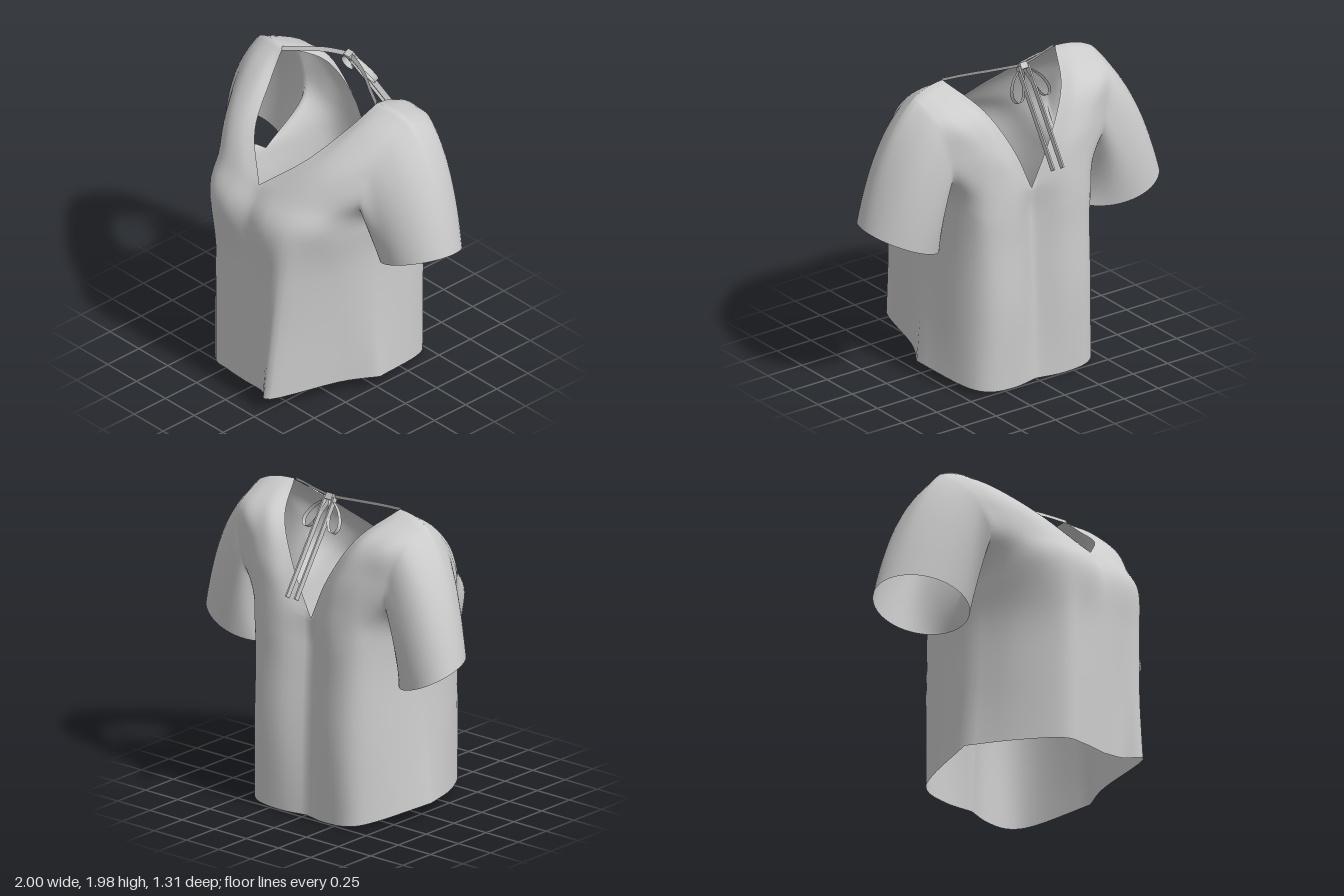
import * as THREE from 'three';
import { mergeGeometries, mergeVertices } from 'three/addons/utils/BufferGeometryUtils.js';

const V = (p) => new THREE.Vector3(...p);
const SEG = 6; // subdivisions between two pattern rows

// Pattern rows, hem to shoulder; points run from centre to side seam / armhole
const FRONT = [
  [[0, .055, .585], [.15, .07, .6], [.28, .09, .645], [.41, .085, .22], [.53, .085, 0]],
  [[0, .5, .585], [.16, .5, .595], [.3, .5, .6], [.42, .5, .23], [.495, .5, 0]],
  [[0, .9, .585], [.17, .9, .6], [.33, .9, .57], [.44, .9, .26], [.485, .9, -.02]],
  [[0, 1.2, .58], [.18, 1.21, .605], [.35, 1.22, .55], [.47, 1.21, .37], [.515, 1.17, -.05]],
  [[0, 1.39, .48], [.18, 1.4, .49], [.34, 1.4, .46], [.47, 1.39, .36], [.575, 1.38, .21]],
  [[.22, 1.59, .31], [.33, 1.6, .32], [.43, 1.6, .3], [.52, 1.6, .24], [.6, 1.6, .15]],
  [[.34, 1.77, .08], [.41, 1.79, .09], [.49, 1.79, .08], [.56, 1.78, .06], [.63, 1.76, .02]],
  [[.41, 1.91, -.09], [.47, 1.91, -.1], [.53, 1.905, -.11], [.59, 1.89, -.12], [.645, 1.865, -.13]],
];
const BACK = [
  [[0, 0, -.46], [.18, .005, -.5], [.36, .02, -.49], [.46, .04, -.36]],
  [[0, .5, -.44], [.18, .5, -.52], [.36, .5, -.5], [.46, .5, -.34]],
  [[0, .9, -.42], [.18, .9, -.51], [.36, .9, -.49], [.45, .9, -.34]],
  [[0, 1.08, -.41], [.18, 1.12, -.51], [.36, 1.14, -.49], [.45, 1.16, -.37]],
  [[0, 1.22, -.42], [.18, 1.31, -.5], [.34, 1.35, -.49], [.45, 1.36, -.44], [.54, 1.37, -.36]],
  [[.13, 1.5, -.42], [.25, 1.54, -.47], [.37, 1.57, -.465], [.48, 1.58, -.43], [.58, 1.58, -.39]],
  [[.28, 1.76, -.33], [.36, 1.78, -.37], [.45, 1.78, -.37], [.54, 1.77, -.37], [.63, 1.76, -.33]],
  FRONT[7],
];
// The right half hangs fuller and rounder below the bust
const RIGHT_FRONT = FRONT.map((r, i) => (i > 2 ? r : [r[0], [.16, r[1][1] - .01, .58],
  [.31, r[2][1] - .03, .545], [.47 - .015 * i, r[3][1] - .02, .3], [r[4][0] + .045 - .02 * i, r[4][1], r[4][2]]]));

const spline = (pts) => new THREE.CatmullRomCurve3(pts, false, 'catmullrom', 0.5);

// Samples one pattern column, with a corner at row `split` (neck point or armpit)
function sampleColumn(rows, j, split) {
  const pts = rows.map((r) => V(r[j]));
  const lower = split ? spline(pts.slice(0, split + 1)).getPoints(split * SEG) : [];
  const upper = spline(pts.slice(split)).getPoints((7 - split) * SEG);
  return [...lower.slice(0, -1), ...upper];
}

// Grid of points for half of a body panel: [row][column]
function panelGrid(rows) {
  const cols = [4, 0, 0, 0, 3].map((split, j) => sampleColumn(rows, j, split));
  return cols[0].map((_, i) => spline(cols.map((c) => c[i])).getPoints(20));
}

// Sleeve grid lofted from the armhole ring to the cuff ring
function sleeveGrid(front, back, shift, skew) {
  const start = 3 * SEG;
  const ring = [...front.slice(start).map((r) => r[20]),
    ...back.slice(start, -1).map((r) => r[20]).reverse()];
  return ring.map((a, k) => {
    const th = (k / (ring.length - 1)) * Math.PI * 2;
    const w = (1 - Math.cos(th)) / 2, s = Math.sin(th);
    const cuff = V([.51 + (.49 - .2 * skew) * w - skew * s, .9 + .2 * w + .025 * s, -.12 + shift + .24 * s]);
    const mid = a.clone().lerp(cuff, .5).add(V([.03 + .01 * w, .2 * w * w, .025 * s]));
    return new THREE.QuadraticBezierCurve3(a, mid, cuff).getPoints(16);
  });
}

// Turns a grid of points into a surface; side -1 mirrors it
function surface(grid, side, flip) {
  const n = grid[0].length, pos = [], idx = [];
  grid.forEach((row) => row.forEach((p) => pos.push(side * p.x, p.y, p.z)));
  for (let i = 0; i < grid.length - 1; i++) {
    for (let j = 0; j < n - 1; j++) {
      const a = i * n + j, b = a + 1, c = b + n, d = a + n;
      if ((side < 0) !== flip) idx.push(a, c, b, a, d, c);
      else idx.push(a, b, c, a, c, d);
    }
  }
  const g = new THREE.BufferGeometry();
  g.setAttribute('position', new THREE.Float32BufferAttribute(pos, 3));
  g.setIndex(idx);
  return g;
}

// Flat ribbon along a path, widened in the given direction
function ribbon(points, dir, width) {
  const off = V(dir).normalize().multiplyScalar(width / 2);
  const line = spline(points.map(V)).getPoints(24);
  const g = surface(line.map((p) => [p.clone().sub(off), p.clone().add(off)]), 1, false);
  g.computeVertexNormals();
  return g;
}

export function createModel() {
  const model = new THREE.Group();
  model.name = 'blouse';
  const cloth = new THREE.MeshStandardMaterial({ color: 0xcccccc, side: THREE.DoubleSide });
  cloth.name = 'light grey cloth';
  const add = (name, geometry) => {
    const mesh = new THREE.Mesh(geometry, cloth);
    mesh.name = name;
    model.add(mesh);
    return mesh;
  };

  // Body panels and sleeves share one smooth set of vertices across the seams
  const parts = [];
  for (const [label, side, rows, shift, skew] of
    [['left', 1, FRONT, 0, 0], ['right', -1, RIGHT_FRONT, -.07, .09]]) {
    const front = panelGrid(rows);
    const back = panelGrid(BACK.map((r, i) => (i < 4 ? [...r, rows[i][4]] : r)));
    parts.push([label + 'FrontPanel', surface(front, side, false)]);
    parts.push([label + 'BackPanel', surface(back, side, true)]);
    parts.push([label + 'Sleeve', surface(sleeveGrid(front, back, shift, skew), side, false)]);
  }
  const whole = mergeVertices(mergeGeometries(parts.map((p) => p[1])), 1e-3);
  whole.computeVertexNormals();
  let from = 0;
  for (const [name, g] of parts) {
    const part = new THREE.BufferGeometry();
    part.setAttribute('position', whole.attributes.position);
    part.setAttribute('normal', whole.attributes.normal);
    part.setIndex(Array.from(whole.index.array.slice(from, from + g.index.count)));
    from += g.index.count;
    add(name, part);
  }

  // Neck tie: straps, bow loops, hanging tails and knot
  const across = [0, -.5, .86], kx = -.035;
  for (const [label, s] of [['left', 1], ['right', -1]]) {
    add(label + 'NeckStrap', ribbon([[s * .41, 1.905, -.08], [s * .3 - .01, 1.925, -.14],
      [s * .16 - .02, 1.945, -.22], [kx, 1.955, -.28]], [0, 1, -.5], .03));
    const loop = [[0, 1.95], [.09, 1.89], [.133, 1.82], [.115, 1.775], [.07, 1.785], [.035, 1.85], [0, 1.95]];
    add(label + 'BowLoop', ribbon(loop.map(([x, y]) => [kx + s * x, y, -.28 - .6 * (1.95 - y)]), across, .035));
    const tail = add(label + 'TieTail', new THREE.BoxGeometry(.01, .645, .035));
    tail.position.set(kx + s * .034, 1.68, -.458);
    tail.rotation.x = .577;
  }
  const knot = add('knot', new THREE.BoxGeometry(.05, .04, .045));
  knot.position.set(kx, 1.95, -.28);
  knot.rotation.x = .5;
  return model;
}
